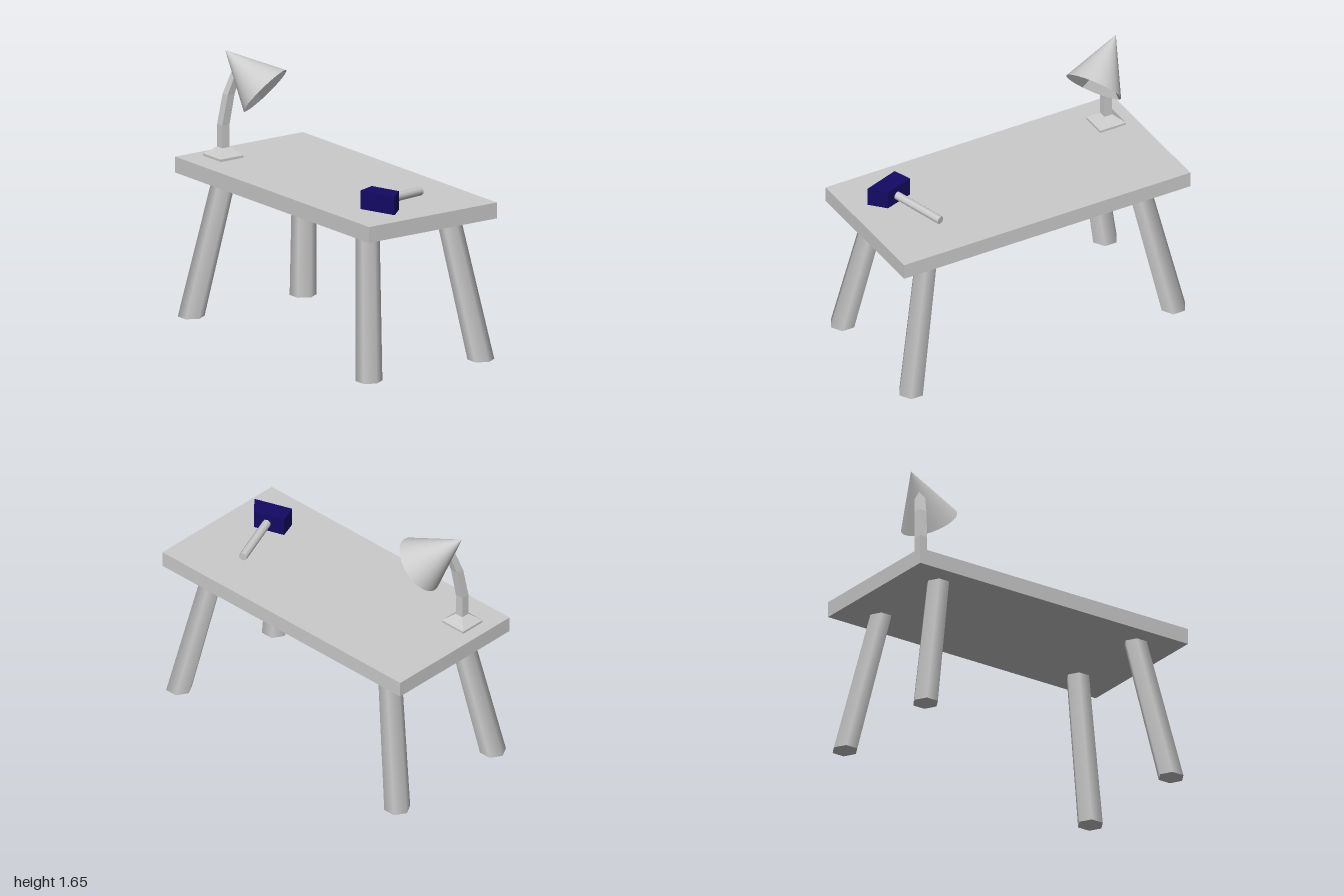
import * as THREE from 'three';

const V = (x, y, z) => new THREE.Vector3(x, y, z);

// Flat-sided solid skinned over rings of equal corner count; corners run counter-clockwise seen from above.
function loft(rings) {
  const pos = [];
  const tri = (...pts) => pts.forEach((p) => pos.push(p.x, p.y, p.z));
  const n = rings[0].length;
  for (let r = 0; r < rings.length - 1; r++) {
    for (let i = 0; i < n; i++) {
      const j = (i + 1) % n;
      const [a, b, c, d] = [rings[r][i], rings[r][j], rings[r + 1][j], rings[r + 1][i]];
      tri(a, b, c);
      tri(a, c, d);
    }
  }
  const bottom = rings[0];
  const top = rings[rings.length - 1];
  for (let i = 1; i < n - 1; i++) {
    tri(top[0], top[i], top[i + 1]);
    tri(bottom[0], bottom[i + 1], bottom[i]);
  }
  const geo = new THREE.BufferGeometry();
  geo.setAttribute('position', new THREE.Float32BufferAttribute(pos, 3));
  geo.computeVertexNormals();
  return geo;
}

// Horizontal square ring.
const square = (x, y, z, hx, hz = hx) => [
  V(x - hx, y, z + hz), V(x + hx, y, z + hz), V(x + hx, y, z - hz), V(x - hx, y, z - hz),
];

// Shallow lining of the shade: four flat-shaded quarters meeting at a point.
function shadeLining(radius, depth) {
  const pos = [];
  const nor = [];
  const steps = 12;
  for (let q = 0; q < 4; q++) {
    const mid = (q * Math.PI) / 2;
    const normal = V(-Math.cos(mid) * depth, -radius, -Math.sin(mid) * depth).normalize();
    for (let s = 0; s < steps; s++) {
      const a = mid - Math.PI / 4 + (s / steps) * (Math.PI / 2);
      const b = a + Math.PI / 2 / steps;
      pos.push(0, depth, 0);
      pos.push(Math.cos(a) * radius, 0, Math.sin(a) * radius);
      pos.push(Math.cos(b) * radius, 0, Math.sin(b) * radius);
      for (let k = 0; k < 3; k++) nor.push(normal.x, normal.y, normal.z);
    }
  }
  const geo = new THREE.BufferGeometry();
  geo.setAttribute('position', new THREE.Float32BufferAttribute(pos, 3));
  geo.setAttribute('normal', new THREE.Float32BufferAttribute(nor, 3));
  return geo;
}

export function createModel() {
  const model = new THREE.Group();
  model.name = 'tableWithLampAndHammer';
  const grey = new THREE.MeshStandardMaterial({ color: 0xcccccc });
  const navy = new THREE.MeshStandardMaterial({ color: 0x140a64 });
  const add = (name, geo, mat = grey, parent = model) => {
    const mesh = new THREE.Mesh(geo, mat);
    mesh.name = name;
    parent.add(mesh);
    return mesh;
  };

  // Table top
  add('tableTop', new THREE.BoxGeometry(0.96, 0.1, 2).translate(0, 0.945, 0));

  // Splayed six-sided legs: upright cylinders sheared outwards so the feet stay level
  const legHeight = 0.9;
  for (const sx of [-1, 1]) {
    for (const sz of [-1, 1]) {
      const geo = new THREE.CylinderGeometry(0.074, 0.082, legHeight, 6);
      geo.translate(0, legHeight / 2, 0);
      const p = geo.attributes.position;
      for (let i = 0; i < p.count; i++) {
        const t = p.getY(i) / legHeight;
        p.setX(i, p.getX(i) + sx * (0.42 - 0.12 * t));
        p.setZ(i, p.getZ(i) + sz * (0.917 - 0.18 * t));
      }
      add(`${sz > 0 ? 'front' : 'back'}${sx > 0 ? 'Left' : 'Right'}Leg`, geo);
    }
  }

  // Lamp foot and bent arm
  const lamp = new THREE.Group();
  lamp.name = 'lamp';
  model.add(lamp);
  const [lx, lz] = [-0.245, -0.826];
  add('lampBase', loft([
    square(lx, 0.994, lz, 0.085, 0.09),
    square(lx, 1.01, lz, 0.085, 0.09),
    square(lx, 1.058, lz, 0.028),
  ]), grey, lamp);
  add('lampArm', loft([
    square(lx, 1.05, lz, 0.027),
    square(lx, 1.2, lz, 0.027),
    square(-0.217, 1.39, -0.81, 0.026),
    square(-0.175, 1.53, -0.785, 0.022),
  ]), grey, lamp);

  // Conical shade, tilted down towards the table
  const apex = V(-0.2, 1.65, -0.868);
  const rim = V(-0.068, 1.422, -0.638);
  const shadeLength = apex.distanceTo(rim);
  const up = apex.clone().sub(rim).normalize();
  const side = V(-up.z, 0, up.x).normalize();
  if (side.x < 0) side.negate();
  const shade = new THREE.Group();
  shade.name = 'lampShade';
  shade.quaternion.setFromRotationMatrix(
    new THREE.Matrix4().makeBasis(side, up, side.clone().cross(up)));
  shade.position.copy(rim);
  lamp.add(shade);
  add('shadeOutside', new THREE.ConeGeometry(0.18, shadeLength, 48, 1, true)
    .translate(0, shadeLength / 2, 0), grey, shade);
  add('shadeLining', shadeLining(0.18, 0.15), grey, shade);

  // Hammer: four-cornered head lying on the table, handle sloping down to its tip
  const hammer = new THREE.Group();
  hammer.name = 'hammer';
  model.add(hammer);
  const outline = [[-0.194, 0.872], [-0.098, 0.783], [-0.162, 0.592], [-0.277, 0.634]];
  add('hammerHead', loft([0.994, 1.112].map((y) => outline.map(([x, z]) => V(x, y, z)))), navy, hammer);

  const start = V(-0.16, 1.05, 0.715);
  const end = V(0.203, 1.02, 0.588);
  const handle = add('hammerHandle',
    new THREE.CylinderGeometry(0.027, 0.027, start.distanceTo(end), 8), grey, hammer);
  handle.position.copy(start).lerp(end, 0.5);
  handle.quaternion.setFromUnitVectors(V(0, 1, 0), end.clone().sub(start).normalize());

  return model;
}
